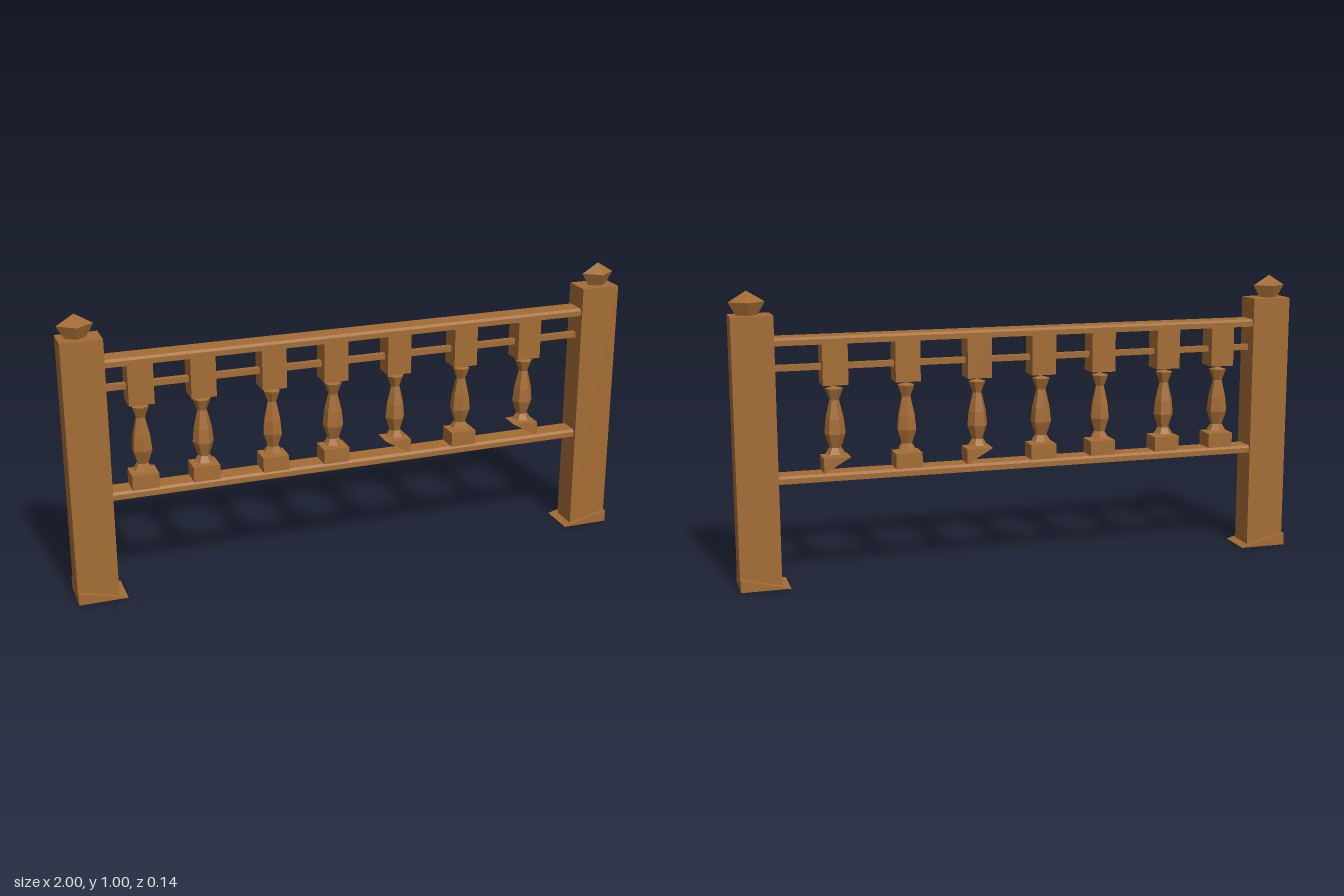
import * as THREE from 'three';

const wood = new THREE.MeshStandardMaterial({ color: 0xa46c34, flatShading: true });
wood.name = 'wood';

function add(parent, name, geometry, x = 0, y = 0, z = 0) {
  const mesh = new THREE.Mesh(geometry, wood);
  mesh.name = name;
  mesh.position.set(x, y, z);
  parent.add(mesh);
  return mesh;
}

// Extrudes an outline along its depth, centred on zero
function prism(points, depth) {
  const shape = new THREE.Shape(points.map(([x, y]) => new THREE.Vector2(x, y)));
  return new THREE.ExtrudeGeometry(shape, { depth, bevelEnabled: false }).translate(0, 0, -depth / 2);
}

function turned(profile, sides) {
  return new THREE.LatheGeometry(profile.map(([r, y]) => new THREE.Vector2(r, y)), sides);
}

// Flat rail with slightly chamfered upper edges
function rail(parent, name, y) {
  const outline = [[-0.042, 0], [0.042, 0], [0.042, 0.018], [0.034, 0.026], [-0.034, 0.026], [-0.042, 0.018]];
  add(parent, name, prism(outline, 1.73).rotateY(Math.PI / 2), 0, y, -0.002);
}

function post(side) {
  const group = new THREE.Group();
  group.name = side > 0 ? 'leftPost' : 'rightPost';
  add(group, 'postShaft', new THREE.BoxGeometry(0.14, 0.92, 0.1), side * 0.93, 0.46, 0);

  // Sloping foot, highest on the outer side
  const foot = side > 0
    ? [[0.832, 0], [1, 0], [1, 0.043]]
    : [[-1, 0], [-0.832, 0], [-1, 0.043]];
  add(group, 'postFoot', prism(foot, 0.136), 0, 0, -0.003);

  // Faceted finial
  const profile = [[0, 0.918], [0.034, 0.918], [0.06, 0.963], [0, 1]];
  const finial = add(group, 'finial', turned(profile, 4), side * 0.94, 0, 0);
  finial.scale.z = 0.74;
  return group;
}

function baluster(x, index) {
  const group = new THREE.Group();
  group.name = 'baluster';
  group.position.x = x;
  add(group, 'upperBlock', new THREE.BoxGeometry(0.086, 0.142, 0.08), 0, 0.75, 0);

  // Turned spindle with a few facets
  const profile = [[0, 0.436], [0.034, 0.44], [0.02, 0.462], [0.036, 0.51], [0.031, 0.56],
    [0.016, 0.625], [0.031, 0.664], [0, 0.672]];
  const spindle = add(group, 'spindle', turned(profile, 6));
  spindle.rotation.y = index * 0.4;

  // Two of the lower blocks are cut to a wedge
  const block = [[-0.046, 0.432], [0.046, 0.38], [0.046, 0.432]];
  if (index !== 4 && index !== 6) block.splice(1, 0, [-0.046, 0.38]);
  add(group, 'lowerBlock', prism(block, 0.08));
  return group;
}

export function createModel() {
  const model = new THREE.Group();
  model.name = 'balustrade';
  for (const side of [-1, 1]) model.add(post(side));

  rail(model, 'topRail', 0.819);
  rail(model, 'bottomRail', 0.354);
  add(model, 'middleRail', new THREE.BoxGeometry(1.73, 0.02, 0.022), 0, 0.74, 0);

  [-0.745, -0.535, -0.29, -0.07, 0.162, 0.413, 0.66].forEach((x, i) => model.add(baluster(x, i)));
  return model;
}
